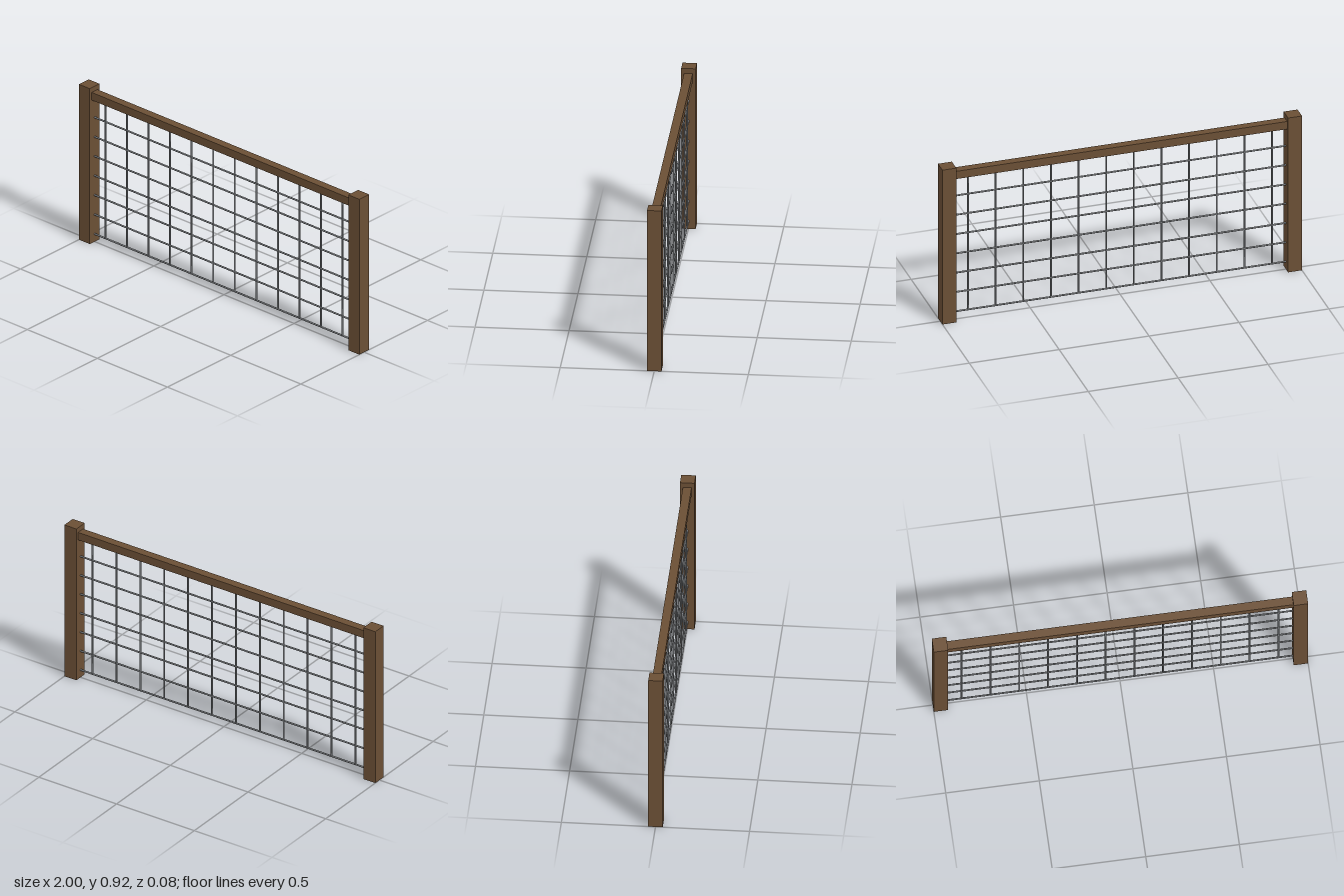
import * as THREE from 'three';

export function createModel() {
  const model = new THREE.Group();
  model.name = 'wireFencePanel';

  const wood = new THREE.MeshStandardMaterial({ color: 0x6b4f35 });
  wood.name = 'brown wood';
  const steel = new THREE.MeshStandardMaterial({ color: 0x85888b });
  steel.name = 'grey steel';

  const post = 0.077, height = 0.923, inner = 1 - post;
  const railHeight = 0.046, railY = 0.872;
  const wireRadius = 0.005, bottom = 0.046;

  const add = (name, geometry, material, x, y) => {
    const mesh = new THREE.Mesh(geometry, material);
    mesh.name = name;
    mesh.position.set(x, y, 0);
    model.add(mesh);
    return mesh;
  };

  // Square end posts
  const postGeometry = new THREE.BoxGeometry(post, height, post);
  add('leftPost', postGeometry, wood, 1 - post / 2, height / 2);
  add('rightPost', postGeometry, wood, -1 + post / 2, height / 2);

  // Top rail between the posts
  add('topRail', new THREE.BoxGeometry(inner * 2, railHeight, railHeight), wood, 0, railY);

  // Horizontal wires
  const longWire = new THREE.CylinderGeometry(wireRadius, wireRadius, inner * 2, 8);
  longWire.rotateZ(Math.PI / 2);
  for (let i = 0; i < 7; i++) {
    add('horizontalWire' + (i + 1), longWire, steel, 0, bottom + i * 0.1154);
  }

  // Vertical wires, from the lowest wire up to the rail
  const top = railY - railHeight / 2;
  const uprightWire = new THREE.CylinderGeometry(wireRadius, wireRadius, top - bottom, 8);
  for (let i = 0; i < 12; i++) {
    add('verticalWire' + (i + 1), uprightWire, steel, (i - 5.5) * 0.1538, (top + bottom) / 2);
  }

  return model;
}
